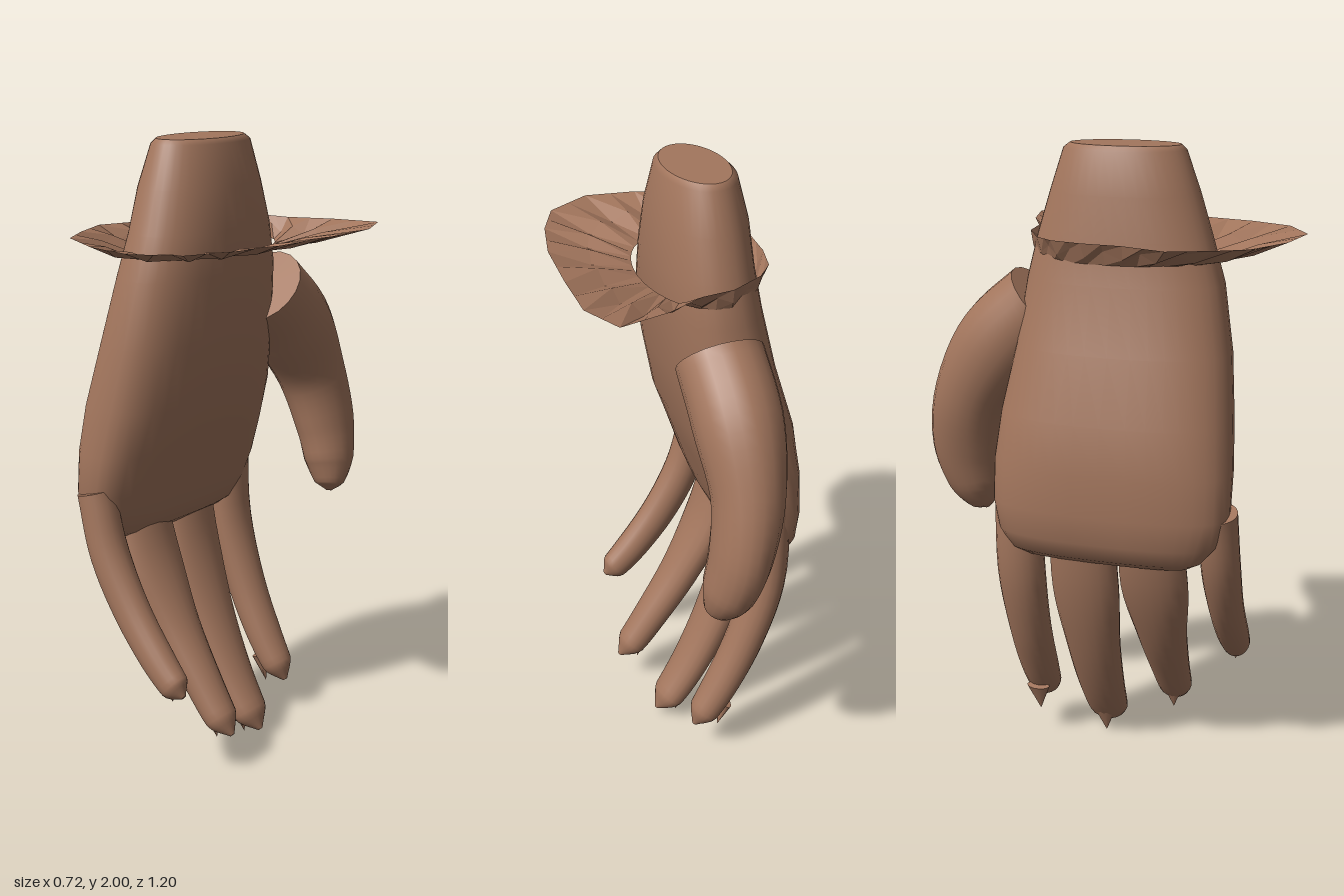
import * as THREE from 'three';

const leather = new THREE.MeshStandardMaterial({ color: 0xa3765d, side: THREE.DoubleSide });
leather.name = 'brown leather';
const V = (x, y, z) => new THREE.Vector3(x, y, z);

// Skin over a list of equally sized closed rings, with flat end caps
function loft(rings) {
  const n = rings[0].length, pos = [], idx = [];
  rings.forEach(r => r.forEach(p => pos.push(p.x, p.y, p.z)));
  for (let i = 0; i < rings.length - 1; i++) {
    for (let j = 0; j < n; j++) {
      const a = i * n + j, b = i * n + (j + 1) % n;
      idx.push(a, b, a + n, b, b + n, a + n);
    }
  }
  [rings[0], rings[rings.length - 1]].forEach((r, end) => {
    const start = pos.length / 3;
    const c = r.reduce((s, p) => s.add(p), V(0, 0, 0)).divideScalar(n);
    pos.push(c.x, c.y, c.z);
    r.forEach(p => pos.push(p.x, p.y, p.z));
    for (let j = 0; j < n; j++) {
      const a = start + 1 + j, b = start + 1 + (j + 1) % n;
      if (end) idx.push(start, a, b); else idx.push(start, b, a);
    }
  });
  const g = new THREE.BufferGeometry();
  g.setAttribute('position', new THREE.Float32BufferAttribute(pos, 3));
  g.setIndex(idx);
  g.computeVertexNormals();
  return g;
}

// Elliptical limb along a curve; stations are [x, y, z, width, depth], width lies along axis
function limb(stations, axis, steps = 24, sides = 20) {
  const path = new THREE.CatmullRomCurve3(stations.map(s => V(s[0], s[1], s[2])));
  const size = new THREE.CatmullRomCurve3(stations.map(s => V(s[3], s[4], 0)));
  const rings = [];
  for (let i = 0; i <= steps; i++) {
    const k = i / steps, c = path.getPoint(k), t = path.getTangent(k), r = size.getPoint(k);
    const u = axis.clone().addScaledVector(t, -axis.dot(t)).normalize();
    const v = t.clone().cross(u);
    const ring = [];
    for (let j = 0; j < sides; j++) {
      const a = j / sides * Math.PI * 2;
      ring.push(c.clone().addScaledVector(u, r.x * Math.cos(a)).addScaledVector(v, r.y * Math.sin(a)));
    }
    rings.push(ring);
  }
  return loft(rings);
}

// Hand body from the wrist down to the knuckles: [y, x min, x max, z min, z max]
function palmGeometry() {
  const rows = [
    [2.0, -0.17, 0.02, -0.09, 0.25], [1.985, -0.185, 0.035, -0.11, 0.265],
    [1.86, -0.215, 0.06, -0.15, 0.31], [1.73, -0.225, 0.07, -0.19, 0.35],
    [1.6, -0.245, 0.07, -0.22, 0.39], [1.4, -0.29, 0.05, -0.245, 0.425],
    [1.2, -0.345, 0.01, -0.28, 0.445], [1.05, -0.36, -0.045, -0.295, 0.455],
    [0.92, -0.36, -0.09, -0.295, 0.455], [0.83, -0.35, -0.125, -0.275, 0.425],
    [0.77, -0.32, -0.155, -0.24, 0.375], [0.745, -0.28, -0.19, -0.2, 0.33]];
  const signedPow = (s, e) => Math.sign(s) * Math.abs(s) ** e;
  return loft(rows.map(([y, x0, x1, z0, z1], i) => {
    const e = 1 - 0.22 * Math.min(1, i / 7), ring = [];
    for (let j = 0; j < 40; j++) {
      const a = j / 40 * Math.PI * 2;
      ring.push(V((x0 + x1) / 2 + (x1 - x0) / 2 * signedPow(Math.cos(a), e), y,
        (z0 + z1) / 2 + (z1 - z0) / 2 * signedPow(Math.sin(a), e)));
    }
    return ring;
  }));
}

// Flared cuff: a pleated sheet between a wrist loop and an uneven rim
function cuffGeometry() {
  const rim = [[0.355, 0.0], [0.34, 0.22], [0.3, 0.39], [0.24, 0.52], [0.1, 0.6], [-0.06, 0.575],
    [-0.21, 0.505], [-0.27, 0.4], [-0.325, 0.27], [-0.275, 0.13], [-0.265, 0.0], [-0.24, -0.1],
    [-0.19, -0.16], [-0.08, -0.22], [0.02, -0.23], [0.15, -0.29], [0.3, -0.325], [0.36, -0.19]];
  const n = rim.length * 2, pos = [], idx = [];
  for (let i = 0; i < n; i++) {
    const p = rim[i >> 1], q = rim[((i >> 1) + 1) % rim.length], h = (i % 2) / 2;
    const ox = p[0] + (q[0] - p[0]) * h, oz = p[1] + (q[1] - p[1]) * h;
    const a = Math.atan2((oz - 0.08) / 0.29, (ox + 0.07) / 0.17);
    const ix = -0.07 + 0.17 * Math.cos(a), iz = 0.08 + 0.285 * Math.sin(a);
    const fold = i % 2 ? 0.013 : -0.01;
    pos.push(ix, 1.665, iz, (ix + ox) / 2, 1.695 + fold, (iz + oz) / 2, ox, 1.73, oz);
    for (let k = 0; k < 2; k++) {
      const s = i * 3 + k, t = (i + 1) % n * 3 + k;
      idx.push(s, t, s + 1, t, t + 1, s + 1);
    }
  }
  const g = new THREE.BufferGeometry();
  g.setAttribute('position', new THREE.Float32BufferAttribute(pos, 3));
  g.setIndex(idx);
  const flat = g.toNonIndexed();
  flat.computeVertexNormals();
  return flat;
}

export function createModel() {
  const glove = new THREE.Group();
  glove.name = 'glove';
  const add = (name, geometry) => {
    const m = new THREE.Mesh(geometry, leather);
    m.name = name;
    glove.add(m);
    return m;
  };

  add('palm', palmGeometry());
  add('cuff', cuffGeometry());

  // Thumb
  add('thumb', limb([
    [-0.05, 1.505, -0.19, 0.135, 0.138], [-0.05, 1.37, -0.33, 0.135, 0.145],
    [-0.04, 1.18, -0.445, 0.11, 0.125], [-0.005, 1.0, -0.482, 0.092, 0.118],
    [0.025, 0.87, -0.47, 0.08, 0.095], [0.045, 0.79, -0.448, 0.05, 0.05],
    [0.05, 0.764, -0.44, 0.008, 0.008]], V(1, 0, 0), 30));

  // Fingers: side position, base and tip half widths, bend points [x, y], nail tip [x, y]
  const fingers = [
    ['littleFinger', 0.42, 0.062, 0.052, [[-0.22, 0.93], [-0.17, 0.74], [-0.08, 0.57], [0.03, 0.43], [0.1, 0.36], [0.135, 0.335]], [0.09, 0.305]],
    ['ringFinger', 0.21, 0.11, 0.066, [[-0.24, 0.88], [-0.18, 0.66], [-0.08, 0.45], [0.03, 0.28], [0.11, 0.17], [0.155, 0.125]], [0.09, 0.095]],
    ['middleFinger', -0.01, 0.11, 0.078, [[-0.24, 0.88], [-0.2, 0.64], [-0.12, 0.4], [-0.03, 0.21], [0.05, 0.085], [0.095, 0.035]], [0.025, 0.003]],
    ['indexFinger', -0.222, 0.078, 0.064, [[-0.22, 1.0], [-0.21, 0.68], [-0.14, 0.44], [-0.06, 0.27], [0.0, 0.17], [0.035, 0.12]], [-0.05, 0.09]]];
  for (const [name, z, wide, slim, bend, nailTip] of fingers) {
    const width = [wide * 0.95, wide, wide * 0.4 + slim * 0.6, slim, slim * 0.85, 0.008];
    const depth = [0.06, 0.062, 0.062, 0.057, 0.05, 0.008];
    add(name, limb(bend.map(([x, y], i) => [x, y, z, width[i], depth[i]]), V(0, 0, 1)));
    // Pointed nail on the back of the fingertip
    const nail = new THREE.ConeGeometry(0.04, 0.1, 10).rotateX(Math.PI).translate(0, 0.05, 0);
    nail.scale(0.5, 1, 1).rotateZ(0.25);
    add(name + 'Nail', nail).position.set(nailTip[0], nailTip[1], z);
  }
  return glove;
}
